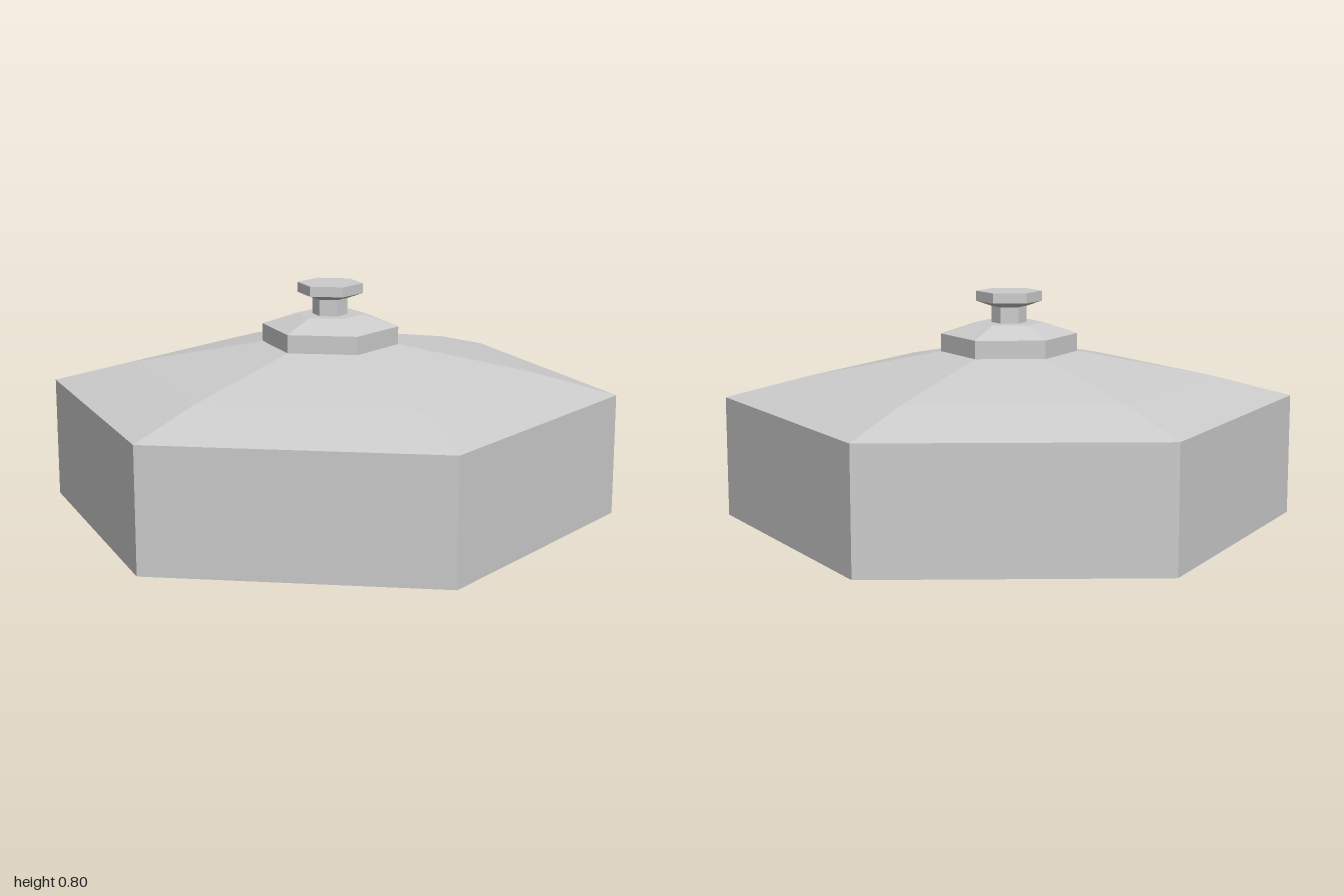
import * as THREE from 'three';

export function createModel() {
  const model = new THREE.Group();
  model.name = 'hexagonalLiddedBox';
  const grey = new THREE.MeshStandardMaterial({ color: 0xcccccc });
  grey.name = 'light grey';

  // Six-sided solid turned from a profile of [radius, height], corners on the z axis
  function hexPart(name, profile) {
    const points = profile.map(([r, y]) => new THREE.Vector2(r, y));
    const geometry = new THREE.LatheGeometry(points, 6).toNonIndexed();
    geometry.computeVertexNormals(); // flat facets
    const mesh = new THREE.Mesh(geometry, grey);
    mesh.name = name;
    model.add(mesh);
  }

  // Straight-walled base with closed floor
  hexPart('base', [[0, 0], [1, 0], [1, 0.425]]);
  // Lid: steeper rim, then a shallower slope
  hexPart('lid', [[1, 0.425], [0.72, 0.497], [0.24, 0.587]]);
  // Raised collar with sloping top
  hexPart('collar', [[0.24, 0.587], [0.24, 0.65], [0.12, 0.69], [0, 0.69]]);
  // Knob: thin neck and flared cap
  hexPart('knobNeck', [[0.062, 0.69], [0.062, 0.747]]);
  hexPart('knobCap', [[0.062, 0.747], [0.115, 0.765], [0.115, 0.8], [0, 0.8]]);

  return model;
}
